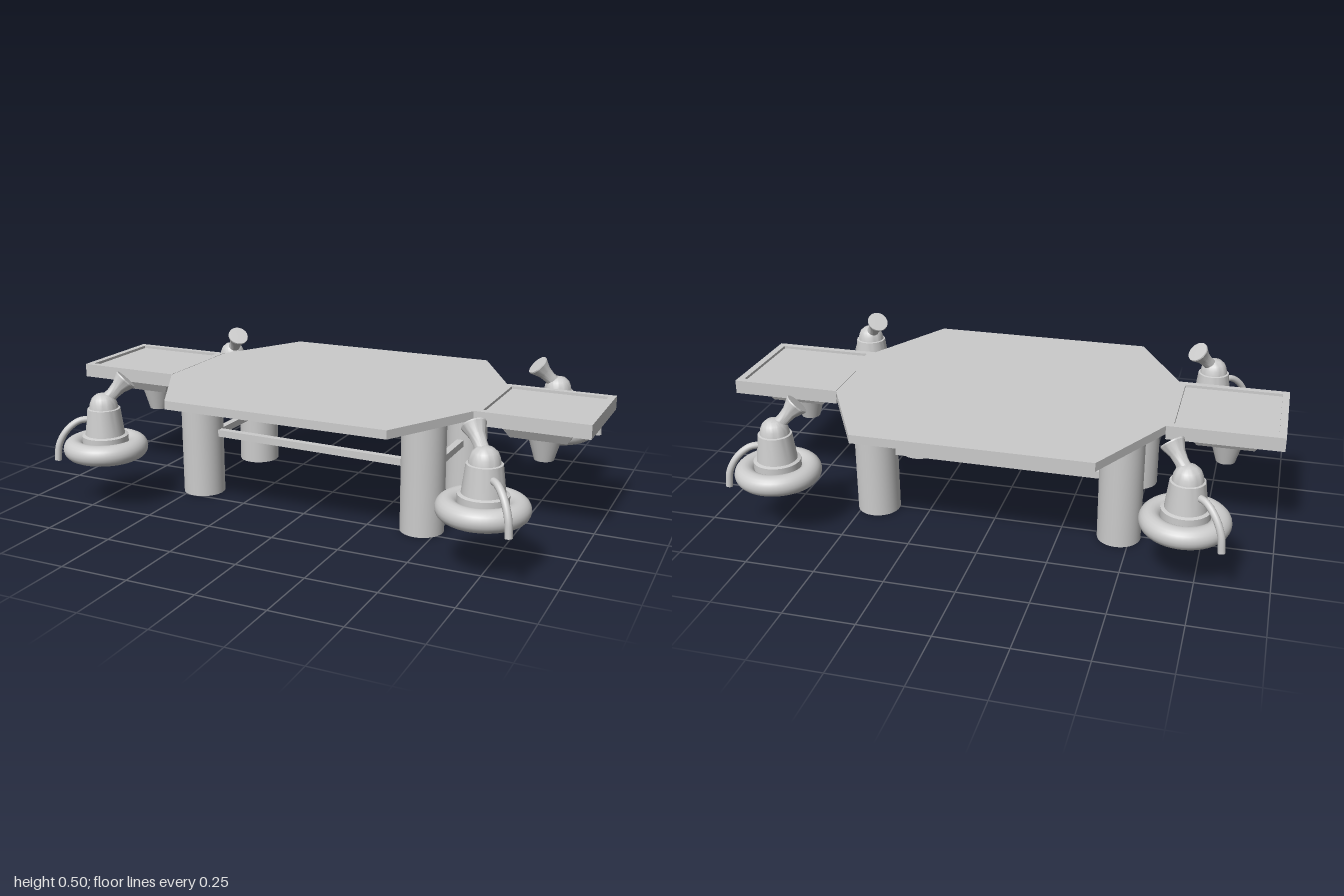
import * as THREE from 'three';
import { toCreasedNormals } from 'three/addons/utils/BufferGeometryUtils.js';

const mat = new THREE.MeshStandardMaterial({ color: 0xcccccc });
const flat = new THREE.MeshStandardMaterial({ color: 0xcccccc, flatShading: true });
const CZ = -0.037; // the table sits slightly behind the origin

function add(parent, name, geo, x = 0, y = 0, z = 0, material = mat) {
  const mesh = new THREE.Mesh(geo, material);
  mesh.name = name;
  mesh.position.set(x, y, z);
  parent.add(mesh);
  return mesh;
}

// Horizontal plate from [x, z] outline points, standing on y = 0
function plate(outline, height, hole) {
  const pts = (list) => list.map(([x, z]) => new THREE.Vector2(x, -z));
  const shape = new THREE.Shape(pts(outline));
  if (hole) shape.holes.push(new THREE.Path(pts(hole)));
  return new THREE.ExtrudeGeometry(shape, { depth: height, bevelEnabled: false }).rotateX(-Math.PI / 2);
}

const square = (h) => [[-h, -h], [-h, h], [h, h], [h, -h]];

function lathe(points, segments = 36) {
  const geo = new THREE.LatheGeometry(points.map(([r, y]) => new THREE.Vector2(r, y)), segments);
  return toCreasedNormals(geo, 0.5);
}

// Side tray with a shallow recess, square block and tapered foot beneath
function makeTray(x) {
  const tray = new THREE.Group();
  tray.name = 'sideTray';
  tray.position.set(x, 0, CZ);
  add(tray, 'trayRim', plate(square(0.2), 0.05, square(0.175)), 0, 0.388, 0);
  add(tray, 'trayFloor', new THREE.BoxGeometry(0.352, 0.04, 0.352), 0, 0.4081, 0);
  const block = new THREE.CylinderGeometry(0.135 * Math.SQRT2, 0.1 * Math.SQRT2, 0.058, 4).rotateY(Math.PI / 4);
  add(tray, 'trayBlock', block, 0, 0.359, 0, flat);
  add(tray, 'trayFoot', new THREE.CylinderGeometry(0.064, 0.035, 0.097, 24), 0, 0.2825, 0);
  return tray;
}

// Hovering seat: ring, bell body, tilted funnel and a hanging hose; local +x is the funnel side
function makeStool(x, z, dx, dz) {
  const stool = new THREE.Group();
  stool.name = 'stool';
  stool.position.set(x, 0, z);
  stool.rotation.y = Math.atan2(-dz, dx);

  add(stool, 'ring', new THREE.TorusGeometry(0.115, 0.0375, 20, 48).rotateX(Math.PI / 2), 0, 0.221, 0);
  add(stool, 'body', lathe([
    [0, 0.23], [0.083, 0.23], [0.083, 0.268], [0.071, 0.272], [0.059, 0.368],
    [0.052, 0.37], [0.049, 0.388], [0.041, 0.406], [0.026, 0.419], [0, 0.425],
  ]));
  const funnel = add(stool, 'funnel', lathe([
    [0, 0], [0.026, 0], [0.023, 0.05], [0.027, 0.08], [0.042, 0.116], [0.041, 0.121], [0, 0.122],
  ], 28), 0, 0.385, 0);
  funnel.rotation.z = -Math.PI / 4;

  const path = new THREE.CatmullRomCurve3([
    [-0.045, 0.33], [-0.09, 0.327], [-0.135, 0.295], [-0.165, 0.245], [-0.174, 0.185],
  ].map(([px, py]) => new THREE.Vector3(px, py, 0)));
  add(stool, 'hose', new THREE.TubeGeometry(path, 24, 0.0125, 12));
  const tip = add(stool, 'hoseTip', new THREE.CircleGeometry(0.0125, 12), -0.174, 0.185, 0);
  tip.rotation.x = Math.PI / 2;
  return stool;
}

export function createModel() {
  const model = new THREE.Group();
  model.name = 'tableSet';

  // Eight-sided table top
  add(model, 'tableTop', plate([
    [-0.6, -0.235], [-0.6, 0.163], [-0.418, 0.492], [0.418, 0.492],
    [0.6, 0.163], [0.6, -0.235], [0.418, -0.568], [-0.418, -0.568],
  ], 0.031, null), 0, 0.406, 0);

  // Trays at both ends
  for (const x of [-0.8, 0.8]) model.add(makeTray(x));

  // Round legs
  const legs = [[-0.46, 0.178], [0.443, 0.213], [-0.46, -0.263], [0.443, -0.263]];
  for (const [x, z] of legs) {
    add(model, 'leg', new THREE.CylinderGeometry(0.078, 0.078, 0.406, 36), x, 0.203, z);
  }

  // Stretchers between the legs
  const rail = (a, b, y) => {
    const dx = b[0] - a[0], dz = b[1] - a[1];
    const bar = add(model, 'stretcher', new THREE.BoxGeometry(Math.hypot(dx, dz), 0.026, 0.026),
      (a[0] + b[0]) / 2, y, (a[1] + b[1]) / 2);
    bar.rotation.y = Math.atan2(-dz, dx);
  };
  rail(legs[0], legs[1], 0.24);
  rail(legs[2], legs[3], 0.24);
  rail(legs[0], legs[2], 0.203);
  rail(legs[1], legs[3], 0.203);

  // Four stools, each with its funnel aimed at the table
  model.add(makeStool(-0.705, -0.48, 0.07, 0.062));
  model.add(makeStool(0.73, -0.485, -0.08, 0.046));
  model.add(makeStool(-0.705, 0.456, 0.07, -0.06));
  model.add(makeStool(0.74, 0.477, -0.064, -0.066));

  return model;
}
